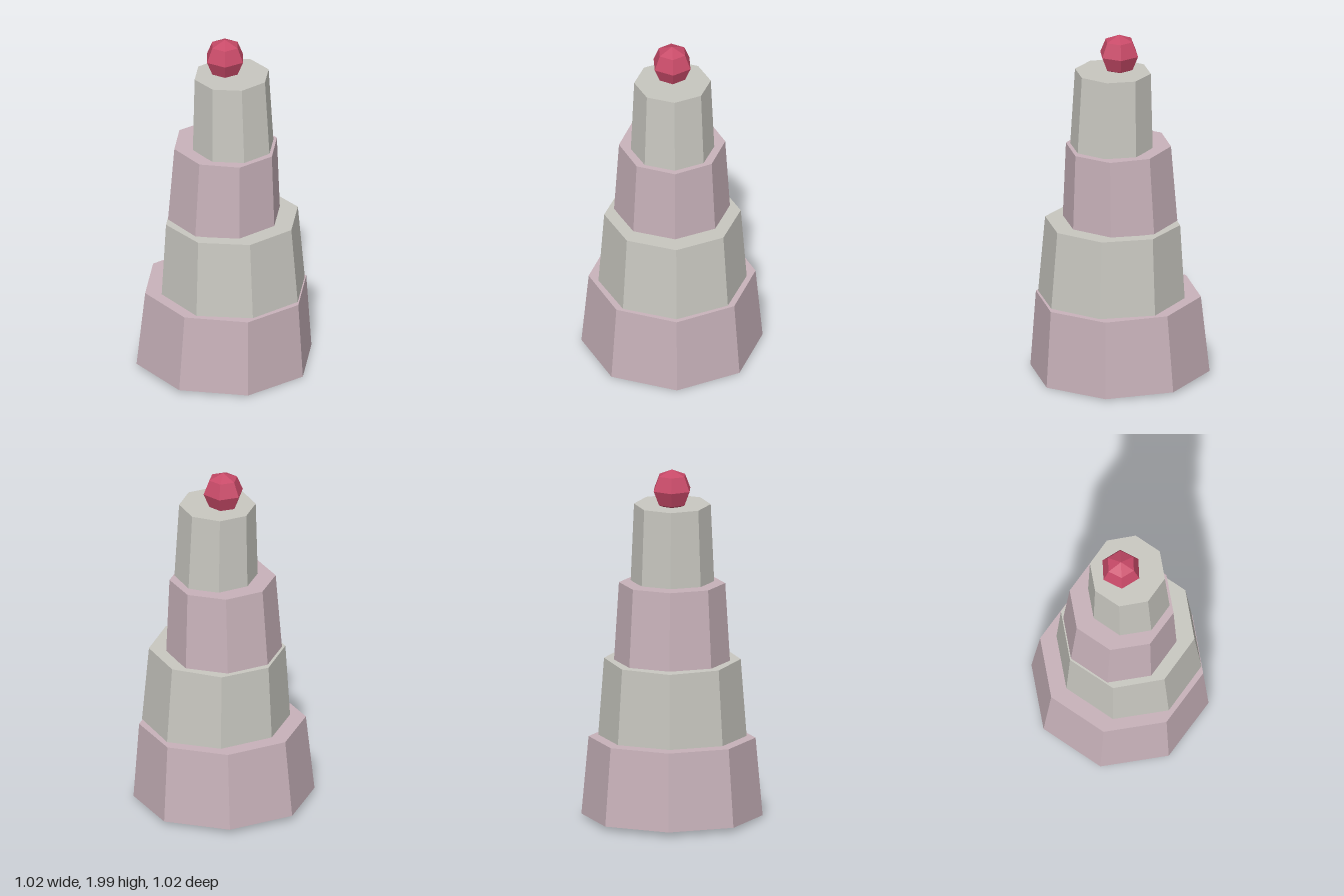
import * as THREE from 'three';

const material = (color) => new THREE.MeshStandardMaterial({ color, flatShading: true });

export function createModel() {
  const group = new THREE.Group();
  const pink = material(0xc8b2ba);
  const stone = material(0xc8c7c0);
  const red = material(0xc84a68);

  // Four tapered octagonal blocks, alternately offset and leaning
  const tiers = [
    { name: 'baseTier', bottom: 0.508, top: 0.468, x: 0.0025, y: 0.24, tilt: -0.025, mat: pink },
    { name: 'secondTier', bottom: 0.416, top: 0.383, x: 0.052, y: 0.682, tilt: 0.018, mat: stone },
    { name: 'thirdTier', bottom: 0.325, top: 0.298, x: 0.002, y: 1.127, tilt: -0.025, mat: pink },
    { name: 'topTier', bottom: 0.234, top: 0.215, x: 0.051, y: 1.571, tilt: 0.022, mat: stone },
  ];
  for (const t of tiers) {
    const mesh = new THREE.Mesh(new THREE.CylinderGeometry(t.top, t.bottom, 0.443, 8), t.mat);
    mesh.name = t.name;
    mesh.position.set(t.x, t.y, 0);
    mesh.rotation.z = t.tilt;
    group.add(mesh);
  }

  // Faceted ball sunk slightly into the top block
  const ball = new THREE.Mesh(new THREE.SphereGeometry(0.116, 6, 4), red);
  ball.name = 'topBall';
  ball.position.set(0.003, 1.884, 0);
  group.add(ball);

  return group;
}
